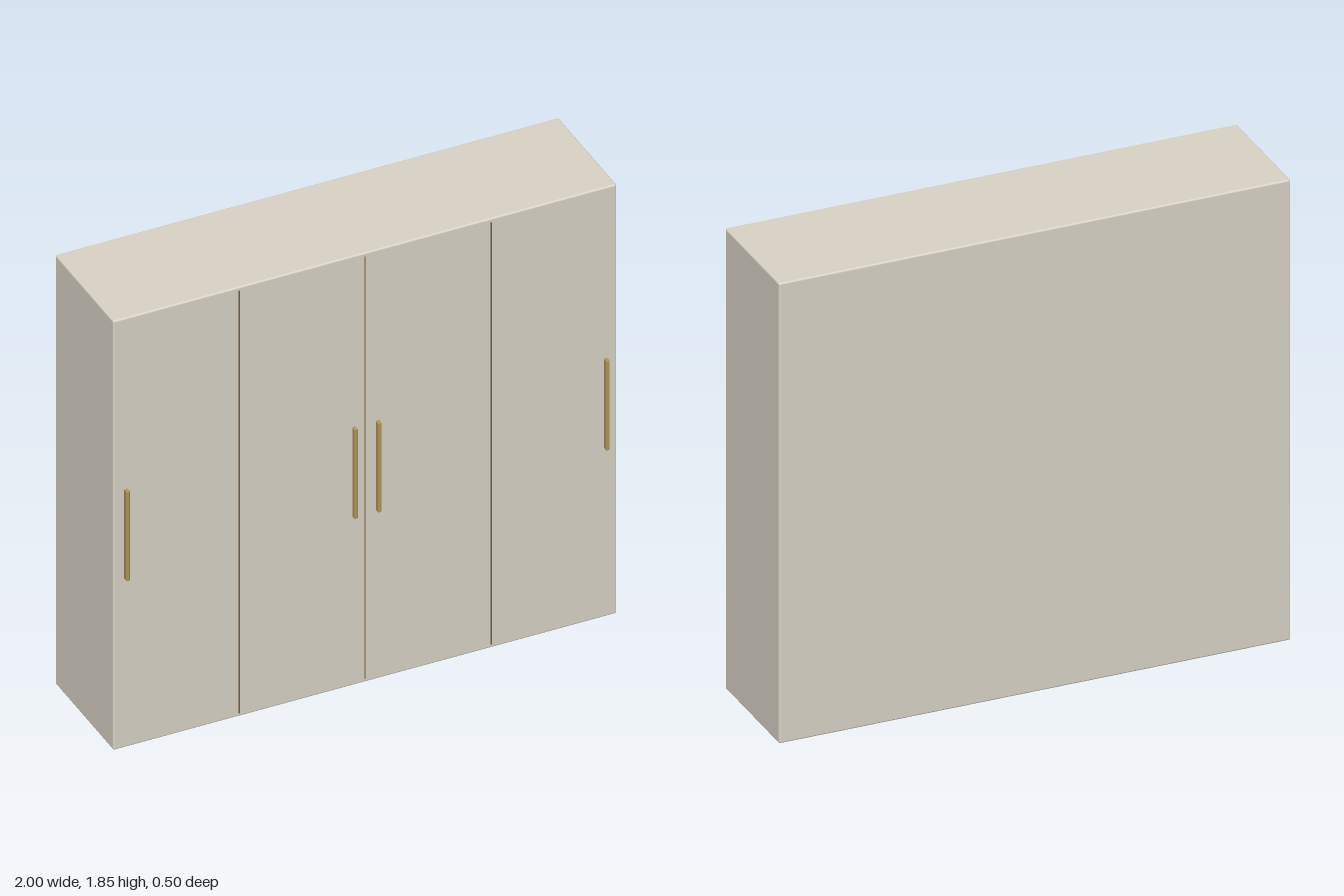
import * as THREE from 'three';
import { RoundedBoxGeometry } from 'three/addons/geometries/RoundedBoxGeometry.js';

const H = 1.85, BACK = -0.25, FRONT = 0.225;
const paint = new THREE.MeshStandardMaterial({ color: 0xd9d3c5 });
const brass = new THREE.MeshStandardMaterial({ color: 0xb0965a });
const gap = new THREE.MeshStandardMaterial({ color: 0x7a5c3c });

function add(parent, name, geometry, material, x, y, z) {
  const mesh = new THREE.Mesh(geometry, material);
  mesh.name = name;
  mesh.position.set(x, y, z);
  parent.add(mesh);
  return mesh;
}

export function createModel() {
  const wardrobe = new THREE.Group();
  wardrobe.name = 'wardrobe';

  // Cabinet with softly eased edges
  const depth = FRONT - BACK;
  add(wardrobe, 'cabinet', new RoundedBoxGeometry(2, H, depth, 3, 0.007), paint, 0, H / 2, (FRONT + BACK) / 2);

  // Thin dark strips between the four doors, the middle one nearly flush
  for (const x of [-0.5, 0, 0.5]) {
    const proud = x === 0 ? 0.001 : 0.004;
    add(wardrobe, 'doorSeam', new THREE.BoxGeometry(0.004, 1.82, 0.004 + proud), gap,
      x, H / 2, FRONT + (proud - 0.004) / 2);
  }

  // Bar handles, each held just off its door by two short pins
  const bar = new RoundedBoxGeometry(0.014, 0.386, 0.021, 2, 0.003);
  const pin = new THREE.CylinderGeometry(0.003, 0.003, 0.012, 10).rotateX(Math.PI / 2);
  for (const x of [-0.953, -0.047, 0.047, 0.953]) {
    const handle = new THREE.Group();
    handle.name = 'handle';
    handle.position.set(x, H / 2, 0);
    add(handle, 'handleBar', bar, brass, 0, 0, 0.2395);
    for (const y of [-0.14, 0.14]) add(handle, 'handlePin', pin, brass, 0, y, 0.227);
    wardrobe.add(handle);
  }
  return wardrobe;
}
